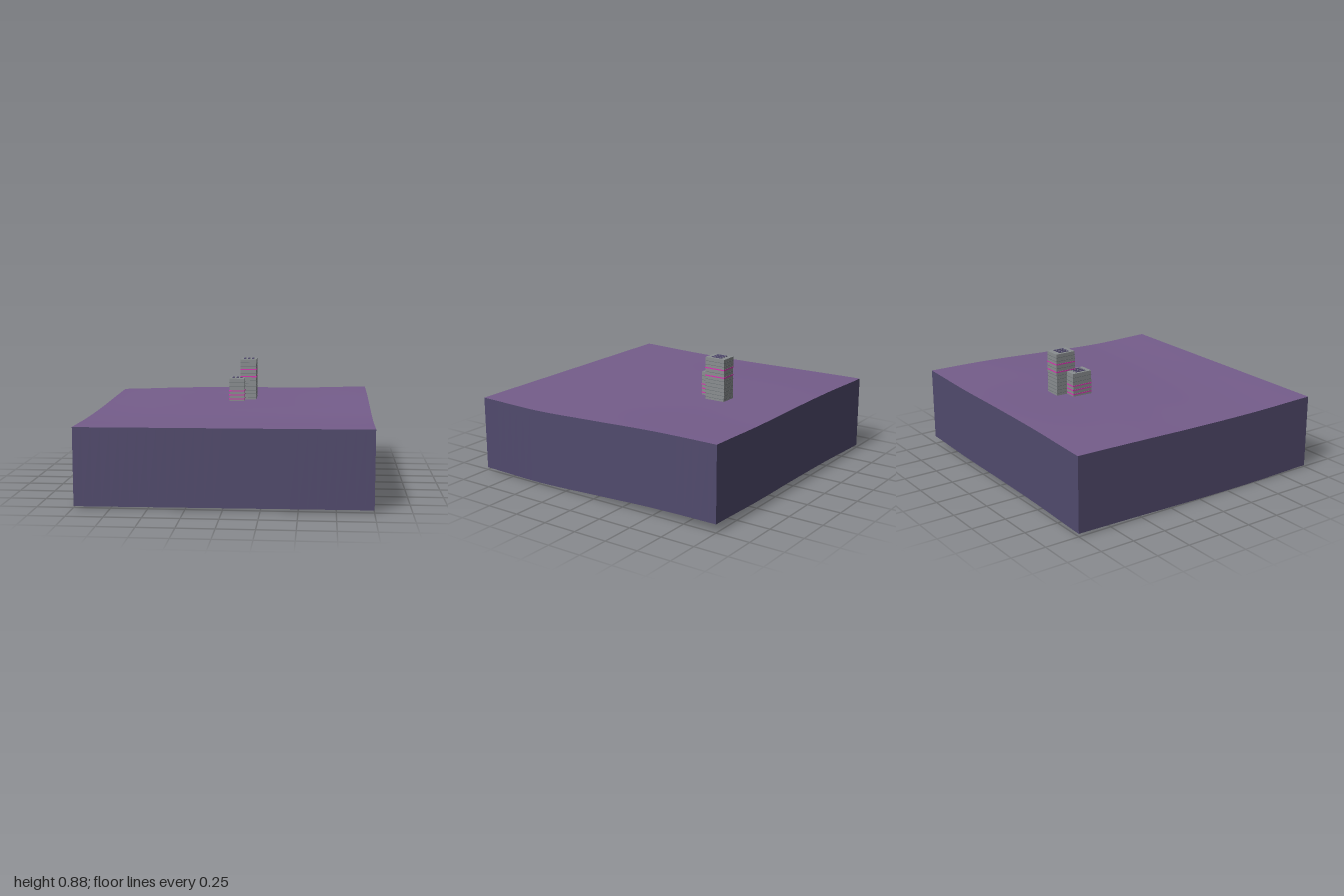
import * as THREE from 'three';

const material = (name, color, side = THREE.FrontSide) => {
  const m = new THREE.MeshStandardMaterial({ color, side });
  m.name = name;
  return m;
};

// Ground heights, rows from back to front, columns from x = -1 to x = 1
const heights = [
  [0.556, 0.573, 0.580, 0.582, 0.595],
  [0.548, 0.562, 0.566, 0.573, 0.588],
  [0.538, 0.549, 0.555, 0.560, 0.566],
  [0.536, 0.540, 0.543, 0.544, 0.546],
  [0.545, 0.547, 0.549, 0.551, 0.553],
];
const skirtDepth = 0.535;

// Smooth curve through evenly spaced values, u from -1 to 1
function smooth(values, u) {
  const f = THREE.MathUtils.clamp((u + 1) * 2, 0, 4);
  const i = Math.min(3, Math.floor(f));
  const t = f - i;
  const at = (k) => values[THREE.MathUtils.clamp(k, 0, 4)];
  const [a, b, c, d] = [at(i - 1), at(i), at(i + 1), at(i + 2)];
  return b + 0.5 * t * (c - a + t * (2 * a - 5 * b + 4 * c - d + t * (3 * (b - c) + d - a)));
}
const groundHeight = (x, z) => smooth(heights.map((row) => smooth(row, x)), z);

// Moves each vertex onto the ground, or skirtDepth below it where y is negative
function drape(geometry) {
  const p = geometry.attributes.position;
  for (let i = 0; i < p.count; i++) {
    const drop = p.getY(i) < -0.1 ? skirtDepth : 0;
    p.setY(i, groundHeight(p.getX(i), p.getZ(i)) - drop);
  }
  geometry.computeVertexNormals();
  return geometry;
}

export function createModel() {
  const model = new THREE.Group();
  const groundMat = material('purple ground', 0x755d8b, THREE.DoubleSide);
  const wallMat = material('dark violet', 0x514a6d, THREE.DoubleSide);
  const concrete = material('grey concrete', 0x8a8e90);
  const pink = material('pink light', 0xd633b0);
  const seam = material('dark grey seam', 0x6c7276);

  const add = (parent, name, geometry, mat, x = 0, y = 0, z = 0) => {
    const mesh = new THREE.Mesh(geometry, mat);
    mesh.name = name;
    mesh.position.set(x, y, z);
    parent.add(mesh);
  };

  // Rolling ground, open underneath, with a skirt on each side
  add(model, 'ground', drape(new THREE.PlaneGeometry(2, 2, 32, 32).rotateX(-Math.PI / 2)), groundMat);
  for (let k = 0; k < 4; k++) {
    const side = new THREE.PlaneGeometry(2, 1, 32, 1).translate(0, 0, 1).rotateY(k * Math.PI / 2);
    add(model, 'skirt', drape(side), wallMat);
  }

  // Tower block with storey bands and three roof vents
  function tower(name, x, z, w, d, top, step, litBands) {
    const group = new THREE.Group();
    group.name = name;
    group.position.set(x, 0, z);
    const base = 0.55;
    add(group, 'block', new THREE.BoxGeometry(w, top - base, d), concrete, 0, (top + base) / 2);
    for (let i = 1; top - i * step > base + 0.015; i++) {
      const lit = litBands.includes(i);
      const grow = lit ? 0.004 : 0.002;
      add(group, lit ? 'litBand' : 'seamBand',
        new THREE.BoxGeometry(w + grow, lit ? 0.008 : 0.003, d + grow), lit ? pink : seam, 0, top - i * step);
    }
    for (const s of [-1, 0, 1]) {
      add(group, 'roofVent', new THREE.BoxGeometry(w * 0.13, 0.006, d * 0.52), wallMat, s * w * 0.26, top + 0.001);
    }
    model.add(group);
  }
  tower('tallTower', 0.08, -0.42, 0.12, 0.156, 0.874, 0.0265, []);
  tower('shortTower', -0.003, -0.333, 0.115, 0.156, 0.734, 0.031, [3, 4, 5]);

  // Two lit bands on the tall tower
  for (const y of [0.797, 0.741]) {
    add(model, 'tallTowerLitBand', new THREE.BoxGeometry(0.124, 0.008, 0.16), pink, 0.08, y, -0.42);
  }
  return model;
}
